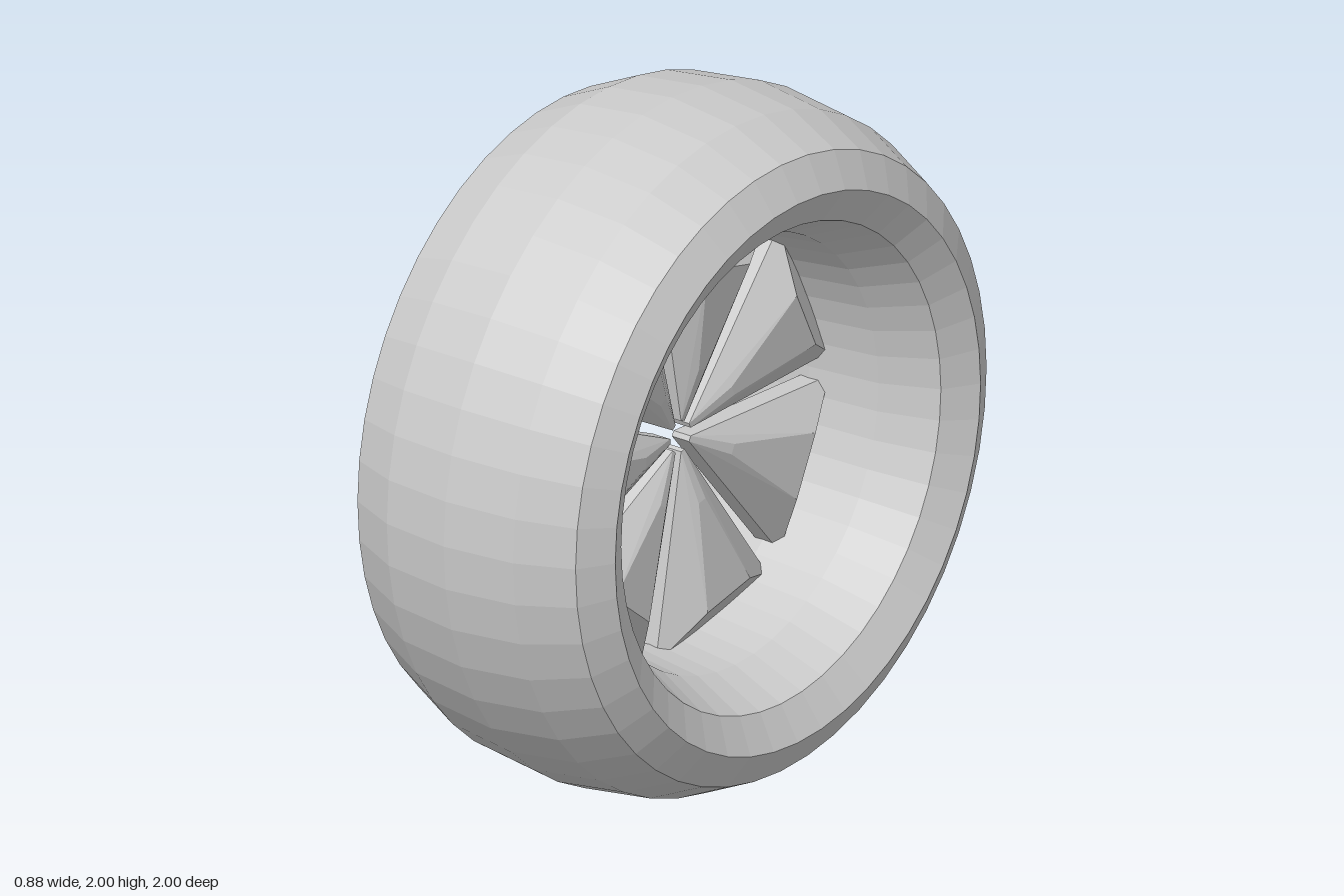
import * as THREE from 'three';
import { ConvexGeometry } from 'three/addons/geometries/ConvexGeometry.js';

const SPOKES = 7;

// Faceted spoke along +z: a thin wedge with a raised, bevelled face on both sides
function spokeGeometry() {
  // [radius, half width, half thickness]
  const corners = [
    [0.045, 0.008, 0.03], // hub tip
    [0.6, 0.25, 0.03],    // outer corner, sunk into the tyre
    [0.2, 0.015, 0.07],   // inner end of the raised face
    [0.5, 0.095, 0.11],   // outer end of the raised face
  ];
  const points = [];
  for (const [r, w, t] of corners)
    for (const side of [-1, 1])
      for (const face of [-1, 1]) points.push(new THREE.Vector3(face * t, side * w, r));
  return new ConvexGeometry(points);
}

export function createModel() {
  const material = new THREE.MeshStandardMaterial({ color: 0xcccccc, flatShading: true });
  const wheel = new THREE.Group();
  wheel.name = 'wheel';
  wheel.position.y = 1;

  // Tyre: low-poly ring, stretched along its axle
  const tyreGeometry = new THREE.TorusGeometry(0.8, 0.2, 12, 48);
  tyreGeometry.rotateY(Math.PI / 2);
  tyreGeometry.scale(2.2, 1, 1);
  const tyre = new THREE.Mesh(tyreGeometry, material);
  tyre.name = 'tyre';
  wheel.add(tyre);

  // Spokes around the open hub
  const geometry = spokeGeometry();
  for (let i = 0; i < SPOKES; i++) {
    const spoke = new THREE.Mesh(geometry, material);
    spoke.name = `spoke${i + 1}`;
    spoke.rotation.x = (i / SPOKES) * Math.PI * 2;
    wheel.add(spoke);
  }

  const model = new THREE.Group();
  model.add(wheel);
  return model;
}
